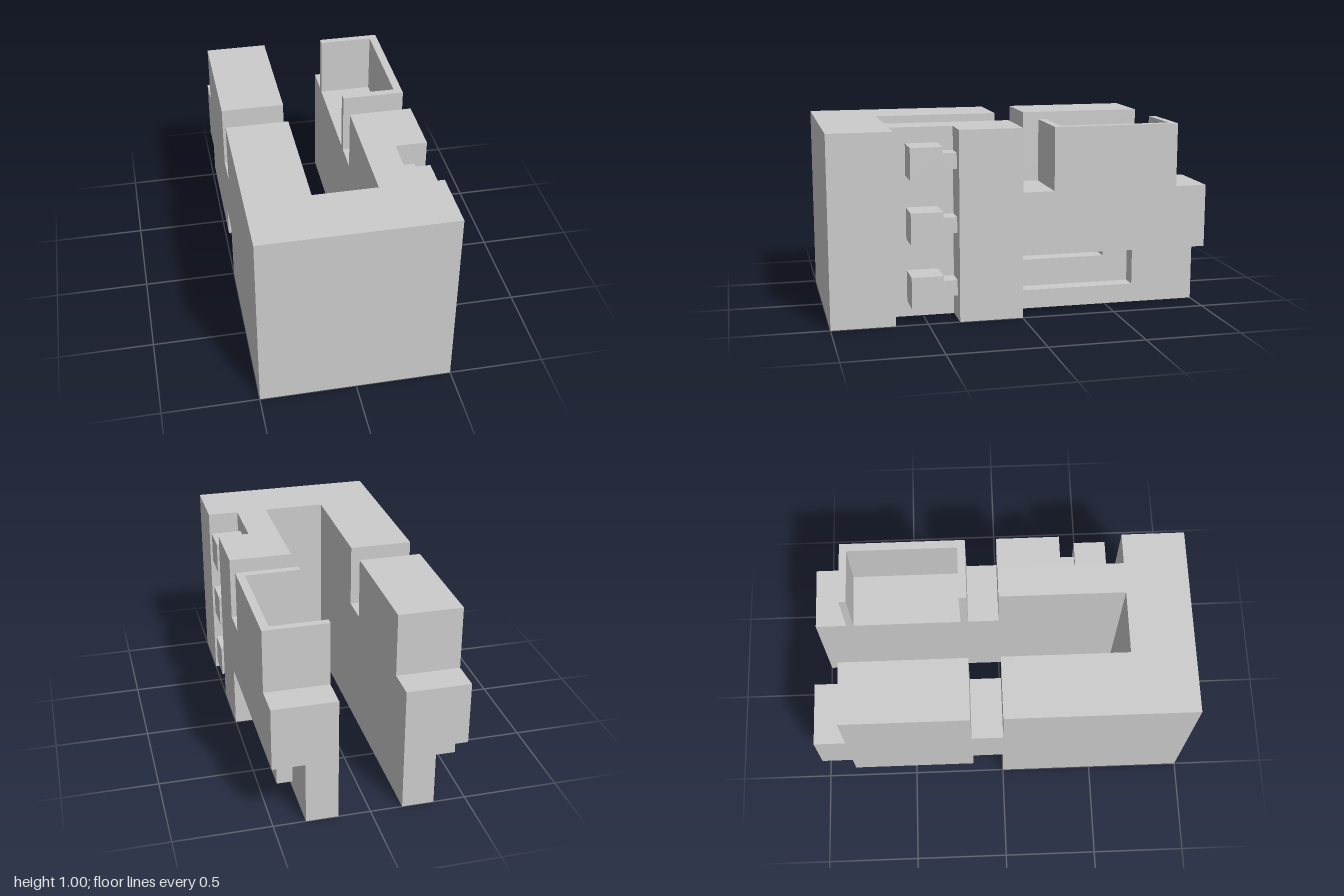
import * as THREE from 'three';

const T = 1 / 3, S = 1 / 6, D = 2 / 3;

export function createModel() {
  const model = new THREE.Group();
  const material = new THREE.MeshStandardMaterial({ color: 0xcccccc, flatShading: true });

  function add(name, geometry) {
    const mesh = new THREE.Mesh(geometry, material);
    mesh.name = name;
    model.add(mesh);
    return mesh;
  }

  // Box given by its extents on each axis
  function box(name, x0, x1, y0, y1, z0, z1) {
    const g = new THREE.BoxGeometry(x1 - x0, y1 - y0, z1 - z0);
    g.translate((x0 + x1) / 2, (y0 + y1) / 2, (z0 + z1) / 2);
    return add(name, g);
  }

  const shapeOf = (pts) => new THREE.Shape(pts.map(([a, b]) => new THREE.Vector2(a, b)));

  // Side profile of [z, y] points, extruded from x0 to x1
  function slab(name, x0, x1, pts) {
    const g = new THREE.ExtrudeGeometry(shapeOf(pts), { depth: x1 - x0, bevelEnabled: false });
    g.rotateY(-Math.PI / 2).translate(x1, 0, 0);
    return add(name, g);
  }

  // Solid block joining both arms at the front
  box('frontBlock', -0.5, 0.5, 0, 1, D, 1);

  // Top edge of the rear half: notch, raised part, rear step
  const raisedTop = [[0, 1], [0, D], [-S, D], [-S, 1], [-5 * S, 1], [-5 * S, D], [-1, D]];
  const lowTop = [[0, 1], [0, D], [-1, D]];

  // Left arm, with a hanging skirt in its side recess
  slab('leftArmInner', -T, -S, [[D, 0], [D, 1], ...raisedTop, [-1, 0]]);
  slab('leftArmOuter', -0.5, -T, [[D, 0], [D, 1], ...raisedTop,
    [-1, T], [-5 * S, T], [-5 * S, S], [-S, S], [-S, T], [0, T], [0, 0]]);

  // Right arm, cut back at the side for the knobs
  slab('rightArmInner', S, T, [[D, 0], [D, 1], ...lowTop, [-1, 0]]);
  slab('rightArmOuter', T, 0.5, [[T, 0], [T, 1], ...lowTop, [-1, T], [0, T], [0, 0]]);

  // Thin-walled pocket on the right arm, open to the middle; points are [x, -z]
  const pocket = new THREE.ExtrudeGeometry(shapeOf([
    [S, S], [0.5, S], [0.5, 5 * S], [S, 5 * S],
    [S, 0.795], [0.457, 0.795], [0.457, 0.208], [S, 0.208],
  ]), { depth: T, bevelEnabled: false });
  pocket.rotateX(-Math.PI / 2).translate(0, D, 0);
  add('pocketWalls', pocket);

  // Three knobs on short stems
  for (const y of [S, 0.5, 5 * S]) {
    box('knob', T, 0.5, y - S / 2, y + S / 2, 0.417, 0.583);
    box('knobStem', T, 0.438, y - S / 4, y + S / 4, T, 0.417);
  }

  // Two nested L-shaped rails in the recess on each side
  for (const [x0, x1] of [[T, T + S / 2], [-T - S / 2, -T]]) {
    for (const [y, z] of [[0.042, -0.708], [0.208, -0.542]]) {
      const w = S / 2;
      slab('rail', x0, x1, [[0, y], [0, y + w], [z + w, y + w], [z + w, T], [z, T], [z, y]]);
    }
  }

  return model;
}
